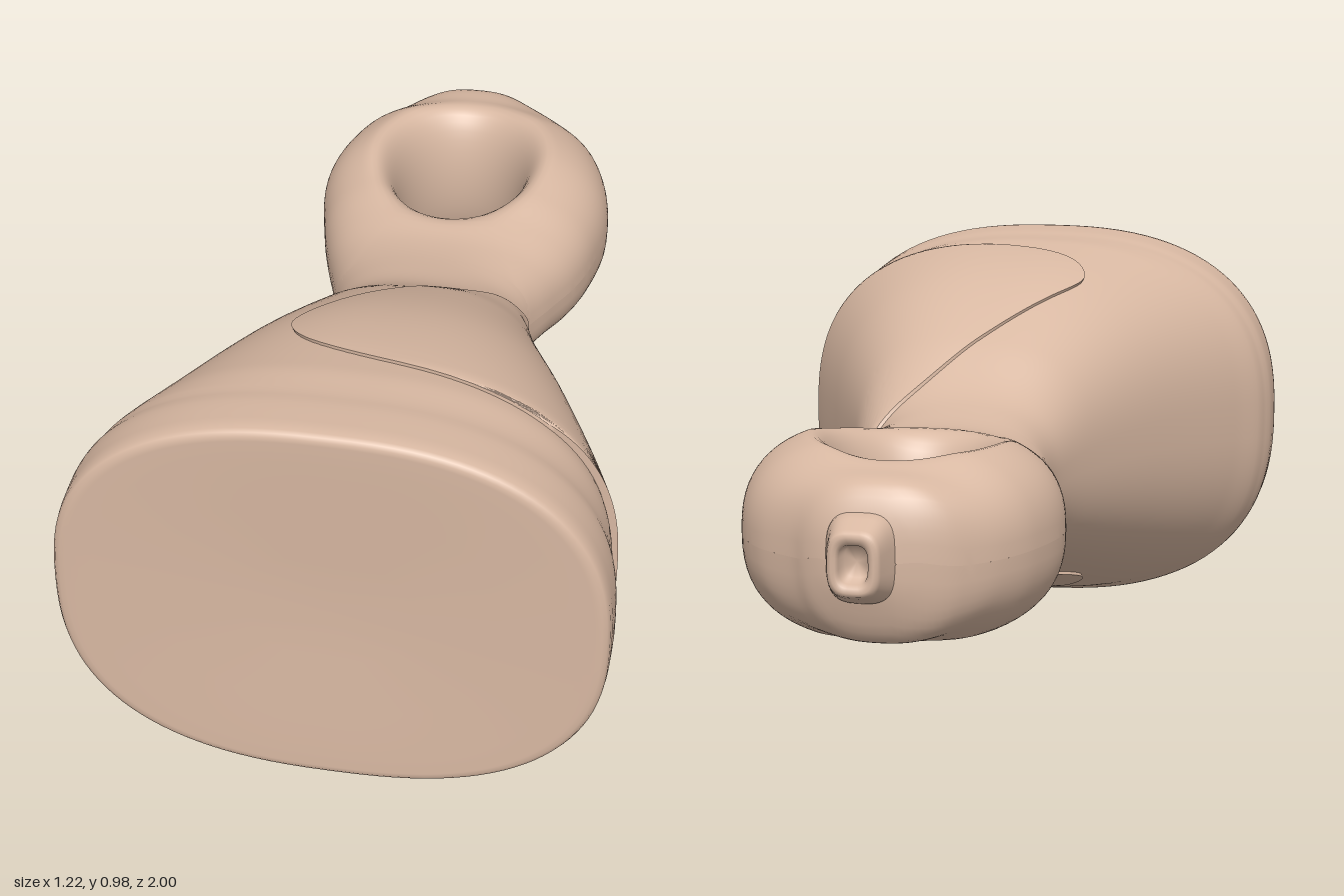
import * as THREE from 'three';
import { mergeVertices, toCreasedNormals } from 'three/addons/utils/BufferGeometryUtils.js';

// Smooth interpolation through rows whose first entry is the position
function sample(rows, z, col) {
  const n = rows.length;
  if (z <= rows[0][0]) return rows[0][col];
  if (z >= rows[n - 1][0]) return rows[n - 1][col];
  let i = 0;
  while (rows[i + 1][0] < z) i++;
  const slope = (k) => {
    const a = rows[Math.max(0, k - 1)], b = rows[Math.min(n - 1, k + 1)];
    return (b[col] - a[col]) / (b[0] - a[0]);
  };
  const [z0, z1] = [rows[i][0], rows[i + 1][0]];
  const d = z1 - z0, t = (z - z0) / d, t2 = t * t, t3 = t2 * t;
  return (2 * t3 - 3 * t2 + 1) * rows[i][col] + (t3 - 2 * t2 + t) * d * slope(i)
    + (3 * t2 - 2 * t3) * rows[i + 1][col] + (t3 - t2) * d * slope(i + 1);
}

// Surface from a grid of points, rows i and columns j
function gridGeometry(rows, cols, point) {
  const pos = [], index = [];
  for (let i = 0; i <= rows; i++) {
    for (let j = 0; j <= cols; j++) {
      pos.push(...point(i, j));
      if (i < rows && j < cols) {
        const a = i * (cols + 1) + j, b = a + cols + 1;
        index.push(a, a + 1, b, a + 1, b + 1, b);
      }
    }
  }
  let g = new THREE.BufferGeometry();
  g.setAttribute('position', new THREE.Float32BufferAttribute(pos, 3));
  g.setIndex(index);
  g = mergeVertices(g, 1e-5);
  g.computeVertexNormals();
  return g;
}

const POWER = 2.5;
const bend = (v, p) => Math.sign(v) * Math.abs(v) ** (2 / p);

// Outline of the whole shape: z, x min, x max, y min, y max
const OUTLINE = [
  [-0.932, -0.02, 0.105, 0.41, 0.53],
  [-0.92, -0.075, 0.14, 0.37, 0.58],
  [-0.9, -0.125, 0.175, 0.315, 0.62],
  [-0.873, -0.165, 0.205, 0.285, 0.64],
  [-0.8, -0.235, 0.305, 0.272, 0.655],
  [-0.7, -0.29, 0.37, 0.24, 0.695],
  [-0.55, -0.322, 0.405, 0.228, 0.71],
  [-0.4, -0.296, 0.387, 0.255, 0.68],
  [-0.3, -0.268, 0.357, 0.28, 0.65],
  [-0.2, -0.235, 0.31, 0.3, 0.635],
  [-0.07, -0.2, 0.255, 0.295, 0.65],
  [0.04, -0.205, 0.285, 0.275, 0.682],
  [0.2, -0.26, 0.335, 0.217, 0.78],
  [0.45, -0.38, 0.445, 0.13, 0.892],
  [0.74, -0.54, 0.573, 0.037, 0.96],
  [0.82, -0.59, 0.588, 0.02, 0.966],
  [0.845, -0.597, 0.594, 0.009, 0.968],
  [0.88, -0.61, 0.604, 0.005, 0.974],
  [0.965, -0.61, 0.606, 0.006, 0.98],
];

function section(z) {
  const [l, r, b, t] = [1, 2, 3, 4].map((c) => sample(OUTLINE, z, c));
  return { cx: (l + r) / 2, w: (r - l) / 2, cy: (b + t) / 2, h: (t - b) / 2 };
}

function bodyPoint(z, angle, grow = 0, scale = 1) {
  const s = section(z);
  return [
    s.cx + (s.w + grow) * scale * bend(Math.cos(angle), POWER),
    s.cy + (s.h + grow) * scale * bend(Math.sin(angle), POWER),
    z,
  ];
}

// Flared body with a rounded rim and a slightly dished front face
function bodyGeometry() {
  const slices = [];
  for (let i = 0; i <= 70; i++) slices.push([-0.12 + (1.085 * i) / 70, 1]);
  slices.push([0.985, 0.997], [0.994, 0.988], [0.999, 0.972], [1, 0.95], [0.999, 0.85],
    [0.995, 0.6], [0.988, 0.3], [0.985, 0]);
  return gridGeometry(slices.length - 1, 112, (i, j) => {
    const [z, scale] = slices[i];
    const p = bodyPoint(z, ((j % 112) / 112) * Math.PI * 2, 0, scale);
    if (scale < 0.01) return [0, 0.49, z];
    return p;
  });
}

// Grip loop: domed surface between the finger hole and the outline
function gripGeometry() {
  const hx = 0.028, hz = -0.525, rx = 0.148, rz = 0.168, END = -0.09;
  const inside = (x, z) => {
    if (z < -0.932 || z > END) return false;
    const s = section(z);
    return Math.abs(x - s.cx) < s.w;
  };
  const RAYS = 144, STEPS = 24, reach = [];
  for (let i = 0; i < RAYS; i++) {
    const a = (i / RAYS) * Math.PI * 2;
    let lo = 1, hi = 5;
    for (let k = 0; k < 40; k++) {
      const m = (lo + hi) / 2;
      if (inside(hx + rx * m * Math.cos(a), hz + rz * m * Math.sin(a))) lo = m;
      else hi = m;
    }
    reach.push(lo);
  }
  return gridGeometry(RAYS, STEPS * 2, (i, j) => {
    const k = i % RAYS, a = (k / RAYS) * Math.PI * 2;
    const t = (1 - Math.cos((Math.abs(j - STEPS) / STEPS) * Math.PI)) / 2;
    const r = 1 + (reach[k] - 1) * t;
    const x = hx + rx * r * Math.cos(a), z = hz + rz * r * Math.sin(a);
    const s = section(z);
    const u = Math.min(1, Math.abs(x - s.cx) / s.w);
    const lip = Math.min(1, (r - 1) / 0.6);
    const h = s.h * (1 - u ** POWER) ** (1 / POWER) * Math.sqrt(Math.max(0, 1 - (1 - lip) ** 2));
    return [x, s.cy + Math.sign(j - STEPS) * h, z];
  });
}

// Raised side panel: z and the x its edge reaches above and below
const PANEL_EDGE = [
  [-0.078, 0.25], [-0.04, 0.225], [0, 0.19], [0.2, 0.03], [0.4, -0.11], [0.5, -0.165], [0.56, -0.16],
  [0.62, -0.115], [0.66, -0.04], [0.69, 0.07], [0.71, 0.2], [0.725, 0.32], [0.735, 0.42],
];

function panelGeometry() {
  const N = 64, M = 72;
  const g = gridGeometry(N + 2, M, (i, j) => {
    const k = Math.min(N, Math.max(0, i - 1));
    const z = -0.078 + (0.813 * (1 - Math.cos((k / N) * Math.PI))) / 2;
    const s = section(z);
    const v = Math.max(-1, Math.min(1, (sample(PANEL_EDGE, z, 1) - s.cx) / s.w));
    const half = Math.acos(Math.sign(v) * Math.abs(v) ** (POWER / 2));
    const e = Math.max(-1, Math.min(1, ((j - 1) / (M - 2)) * 2 - 1));
    const sunk = i === 0 || i === N + 2 || j === 0 || j === M;
    return bodyPoint(z, half * e, sunk ? -0.012 : 0.018 - 0.01 * e ** 4);
  });
  return toCreasedNormals(g, 0.7);
}

// Hollow squarish nozzle: z, half width, half height
function nozzleGeometry() {
  const rings = [
    [-0.955, 0, 0], [-0.955, 0.027, 0.034], [-0.99, 0.032, 0.042], [-0.998, 0.038, 0.05],
    [-1, 0.046, 0.06], [-0.997, 0.055, 0.068], [-0.985, 0.059, 0.074], [-0.945, 0.068, 0.09],
    [-0.93, 0.075, 0.097], [-0.89, 0.085, 0.1],
  ];
  return gridGeometry(rings.length - 1, 48, (i, j) => {
    const [z, w, h] = rings[i], a = ((j % 48) / 48) * Math.PI * 2;
    return [0.043 + w * bend(Math.cos(a), 3.2), 0.48 + h * bend(Math.sin(a), 3.2), z];
  });
}

export function createModel() {
  const group = new THREE.Group();
  const material = new THREE.MeshStandardMaterial({ color: 0xd8b8a2, side: THREE.DoubleSide });
  material.name = 'warm beige';
  const parts = {
    flaredBody: bodyGeometry(),
    gripLoop: gripGeometry(),
    sidePanel: panelGeometry(),
    nozzle: nozzleGeometry(),
  };
  for (const [name, geometry] of Object.entries(parts)) {
    const mesh = new THREE.Mesh(geometry, material);
    mesh.name = name;
    group.add(mesh);
  }
  return group;
}
